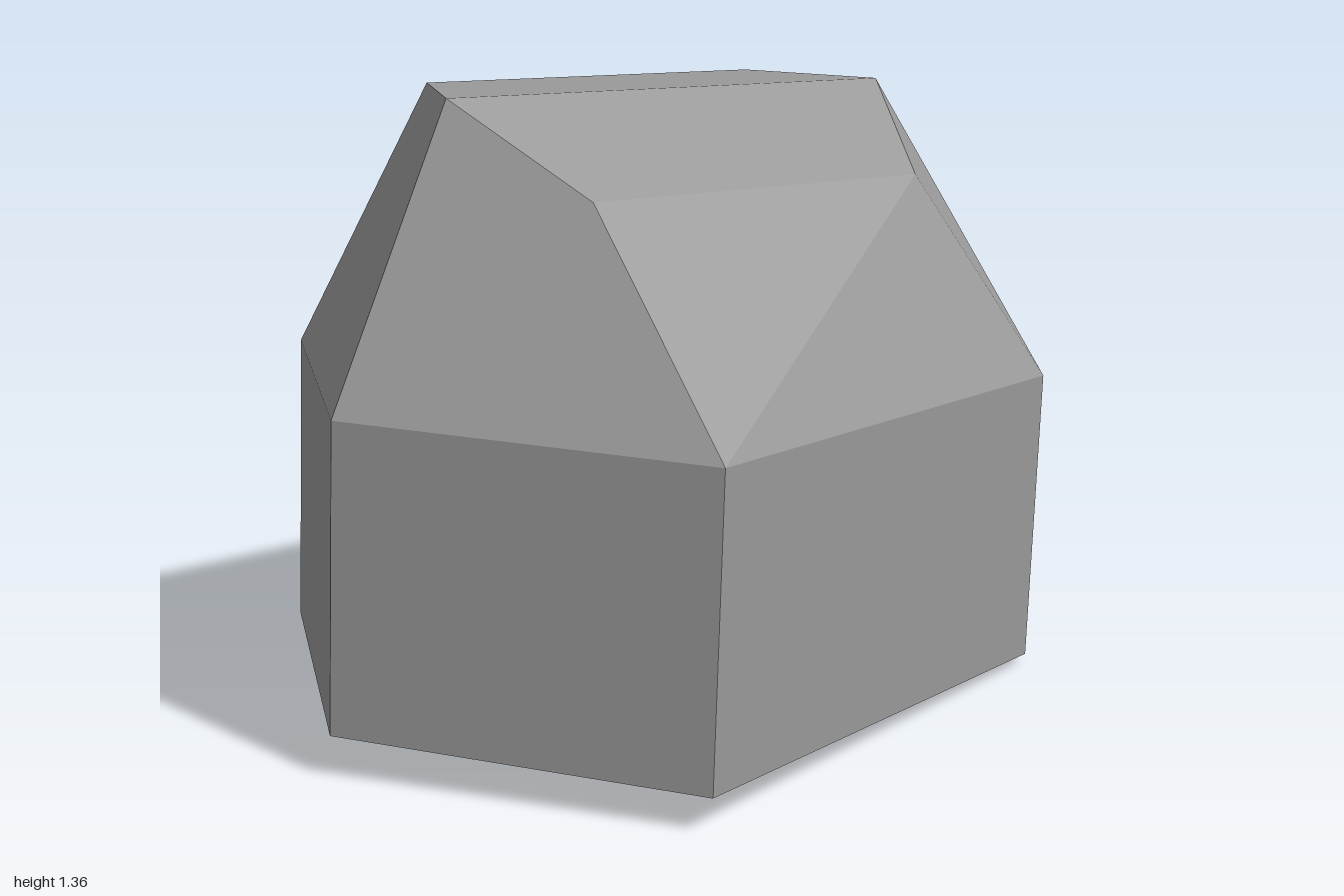
import * as THREE from 'three';

// Three six-cornered rings, counter-clockwise from the front corner
const base = [[0, 0.093, 1], [0.724, 0.077, 0.605], [0.495, 0.022, -0.572], [-0.22, 0.0, -0.967], [-0.724, 0.009, -0.842], [-0.724, 0.077, 0.605]];
const shoulder = [[0, 0.75, 0.97], [0.724, 0.731, 0.575], [0.493, 0.677, -0.605], [-0.23, 0.658, -1], [-0.724, 0.665, -0.872], [-0.724, 0.731, 0.575]];
const crown = [[0, 1.363, 0.672], [0.283, 1.172, 0.527], [0.283, 1.132, -0.395], [0, 1.308, -0.555], [-0.283, 1.315, -0.405], [-0.283, 1.357, 0.517]];

// Flat-faced mesh from polygons, each fanned into triangles
function facets(name, polygons, material) {
  const positions = [];
  for (const p of polygons) {
    for (let i = 1; i < p.length - 1; i++) positions.push(...p[0], ...p[i], ...p[i + 1]);
  }
  const geometry = new THREE.BufferGeometry();
  geometry.setAttribute('position', new THREE.Float32BufferAttribute(positions, 3));
  geometry.computeVertexNormals();
  const mesh = new THREE.Mesh(geometry, material);
  mesh.name = name;
  return mesh;
}

// Band of quads joining a lower ring to an upper one
const band = (a, b) => a.map((p, i) => {
  const j = (i + 1) % a.length;
  return [p, a[j], b[j], b[i]];
});

export function createModel() {
  const stone = new THREE.MeshStandardMaterial({ color: 0x999999, flatShading: true });
  stone.name = 'grey stone';
  const group = new THREE.Group();
  group.name = 'rock';
  const [t0, t1, t2, t3, t4, t5] = crown;
  group.add(
    facets('lowerWalls', band(base, shoulder), stone),
    facets('slopedSides', band(shoulder, crown), stone),
    // Crown folds along the ridge from front to back
    facets('crown', [[t0, t1, t2, t3], [t0, t3, t4, t5]], stone),
    facets('underside', [[...base].reverse()], stone),
  );
  return group;
}
